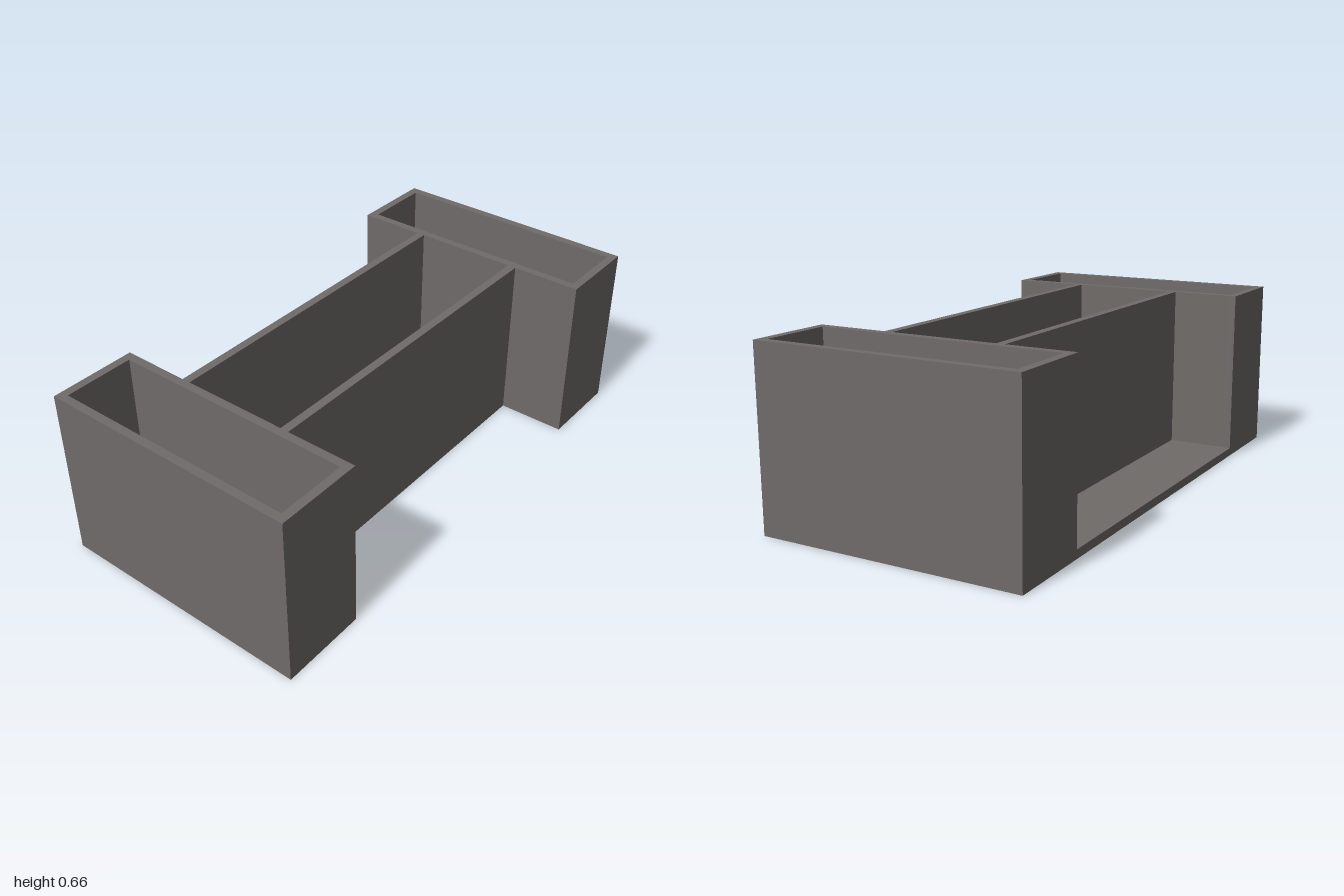
import * as THREE from 'three';

const H = 0.663; // overall height
const T = 0.032; // board thickness

export function createModel() {
  const model = new THREE.Group();
  const grey = new THREE.MeshStandardMaterial({ color: 0x6f6b69 });
  grey.name = 'warm grey';

  // Board given by its extents on each axis
  function board(parent, name, x0, x1, y0, y1, z0, z1) {
    const mesh = new THREE.Mesh(new THREE.BoxGeometry(x1 - x0, y1 - y0, z1 - z0), grey);
    mesh.position.set((x0 + x1) / 2, (y0 + y1) / 2, (z0 + z1) / 2);
    mesh.name = name;
    parent.add(mesh);
  }

  // Open rectangular end boxes, without top or bottom
  const inner = 0.668;
  for (const [name, cx] of [['leftEndBox', 1], ['rightEndBox', -1]]) {
    const box = new THREE.Group();
    box.name = name;
    box.position.x = cx * (1 + inner) / 2;
    const w = (1 - inner) / 2;
    board(box, 'frontPanel', -w, w, 0, H, 0.5 - T, 0.5);
    board(box, 'backPanel', -w, w, 0, H, -0.5, -0.5 + T);
    board(box, 'sidePanelA', -w, -w + T, 0, H, -0.5 + T, 0.5 - T);
    board(box, 'sidePanelB', w - T, w, 0, H, -0.5 + T, 0.5 - T);
    model.add(box);
  }

  // Long walls joining the end boxes
  board(model, 'frontWall', -inner, inner, 0, H, 0.198, 0.198 + T);
  board(model, 'backWall', -inner, inner, 0, H, -0.24, -0.24 + T);

  // Low shelf behind the back wall
  board(model, 'backShelf', -inner, inner, 0, T, -0.5, -0.24);

  return model;
}
